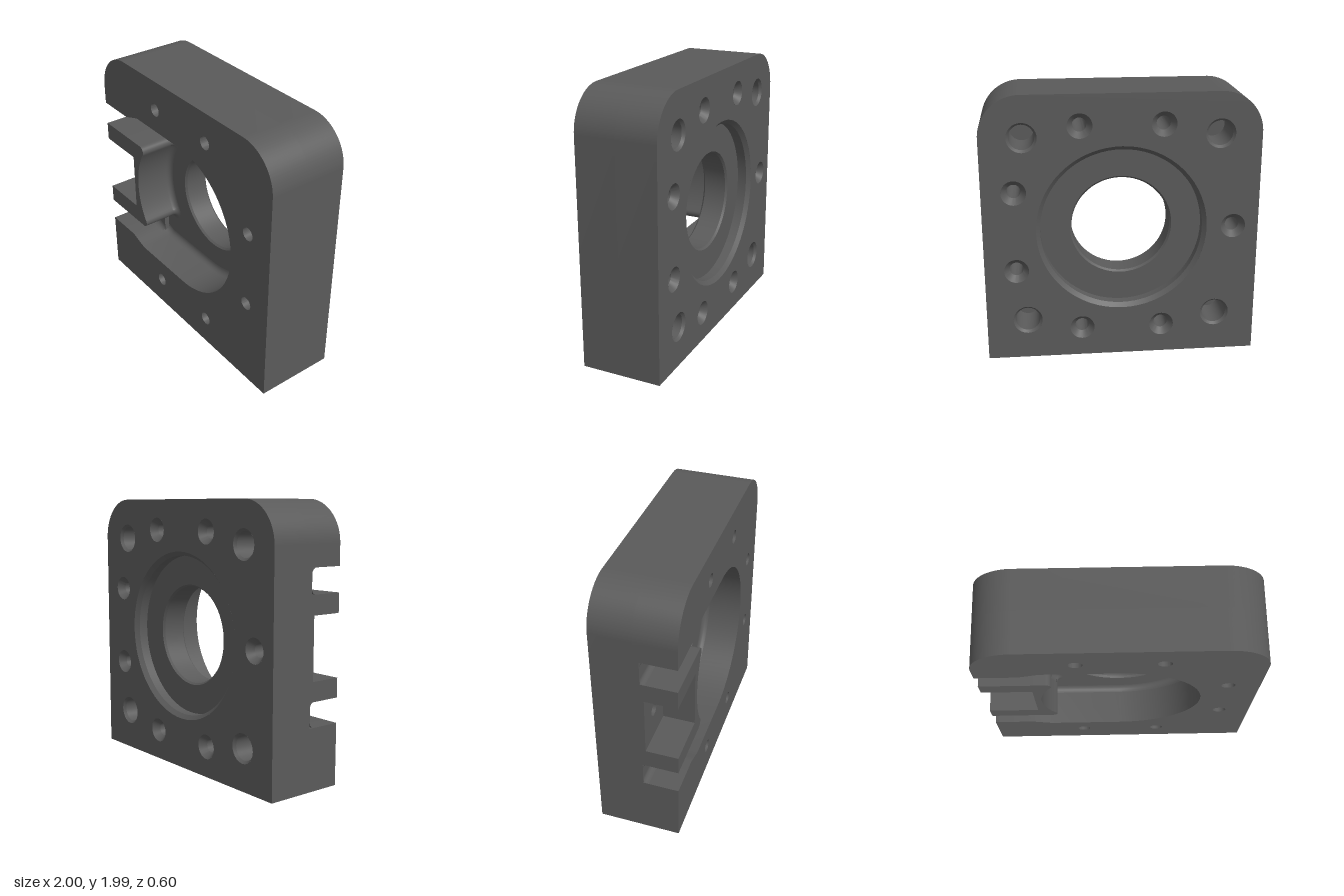
import * as THREE from 'three';
import { toCreasedNormals } from 'three/addons/utils/BufferGeometryUtils.js';

const MID = 0.995; // height of the main bore axis
const V = (x, y) => new THREE.Vector2(x, y);

// points along a circular arc
function arc(cx, cy, r, a0, a1, n) {
  return Array.from({ length: n + 1 }, (_, i) => {
    const a = a0 + (a1 - a0) * i / n;
    return V(cx + r * Math.cos(a), cy + r * Math.sin(a));
  });
}

function addHole(shape, x, y, r) {
  shape.holes.push(new THREE.Path().absarc(x, y, r, 0, Math.PI * 2, true));
}

// flat plate between two z levels
function plate(shape, z0, z1) {
  const g = new THREE.ExtrudeGeometry(shape, { depth: z1 - z0, bevelEnabled: false, curveSegments: 32 });
  return toCreasedNormals(g.translate(0, 0, z0), 0.5);
}

// turned surface about the z axis, profile given as [radius, z]
function turned(profile, x, y, n = 32) {
  const g = new THREE.LatheGeometry(profile.map(p => V(p[0], p[1])), n);
  return toCreasedNormals(g.rotateX(Math.PI / 2).translate(x, y, 0), 0.5);
}

// concave fillet between a wall path and a floor at height z
function cove(path, z, r, side) {
  const pos = [], idx = [], S = 6;
  path.forEach((p, i) => {
    const a = path[Math.max(i - 1, 0)], b = path[Math.min(i + 1, path.length - 1)];
    const d = b.clone().sub(a).normalize();
    for (let j = 0; j <= S; j++) {
      const t = j / S * Math.PI / 2, o = side * r * (1 - Math.cos(t));
      pos.push(p.x + d.y * o, p.y - d.x * o, z + r * (1 - Math.sin(t)));
      if (i && j) {
        const k = i * (S + 1) + j, m = k - S - 1;
        idx.push(m - 1, k - 1, k, m - 1, k, m);
      }
    }
  });
  const g = new THREE.BufferGeometry();
  g.setAttribute('position', new THREE.Float32BufferAttribute(pos, 3));
  g.setIndex(idx);
  g.computeVertexNormals();
  return g;
}

export function createModel() {
  const group = new THREE.Group();
  const metal = new THREE.MeshStandardMaterial({ color: 0x5a5a5a, side: THREE.DoubleSide });
  metal.name = 'dark grey metal';
  const add = (name, geometry) => {
    const m = new THREE.Mesh(geometry, metal);
    m.name = name;
    group.add(m);
  };

  const frameHoles = [[-0.297, 1.765], [0.297, 1.765], [-0.297, 0.225], [0.297, 0.225], [0.77, 1.292], [0.77, 0.698]];
  const slotHole = [-0.815, MID];
  const cornerHoles = [[-0.7, 1.69], [0.7, 1.69], [-0.7, 0.305], [0.7, 0.305]];

  // outer outline with rounded top corners, above the base strip
  const outline = () => new THREE.Shape().moveTo(-1, 0.1).lineTo(1, 0.1).lineTo(1, 1.69)
    .absarc(0.7, 1.69, 0.3, 0, Math.PI / 2, false)
    .absarc(-0.7, 1.69, 0.3, Math.PI / 2, Math.PI, false);

  // back half with openings for bore and bolts
  const back = outline();
  addHole(back, 0, MID, 0.62);
  [...frameHoles, slotHole].forEach(h => addHole(back, ...h, 0.09));
  cornerHoles.forEach(h => addHole(back, ...h, 0.107));
  add('backPlate', plate(back, -0.3, 0));

  // front half, cut by a D-shaped pocket open on one side
  const inner = [V(-0.62, 1.567), V(-0.55, 1.59), ...arc(0, MID, 0.595, Math.PI / 2, -Math.PI / 2, 48),
    V(-0.55, 0.4), V(-0.62, 0.423)];
  const upper = [V(-1, 1.54), V(-0.7, 1.54), V(-0.62, 1.567)];
  const lower = [V(-0.62, 0.423), V(-0.7, 0.45), V(-1, 0.45)];
  const front = outline();
  [...upper, ...inner.slice(1, -1), ...lower].forEach(p => front.lineTo(p.x, p.y));
  frameHoles.forEach(h => addHole(front, ...h, 0.05));
  add('frontFrame', plate(front, 0, 0.3));
  add('pocketFillet', cove(inner, 0, 0.045, 1));
  add('upperChannelFillet', cove(upper, 0.04, 0.04, 1));
  add('lowerChannelFillet', cove(lower, 0.04, 0.04, 1));

  // raised channel floor beside the boss
  const rect = (x0, x1, y0, y1) => new THREE.Shape([V(x0, y0), V(x1, y0), V(x1, y1), V(x0, y1)]);
  const channel = rect(-1, -0.62, 0.423, 1.567);
  addHole(channel, ...slotHole, 0.05);
  add('channelFloor', plate(channel, 0, 0.04));

  // boss with concave end, rounded tips and a slot
  const a = Math.PI - 0.55;
  const edge = [V(-1, 1.36), V(-0.75, 1.36), ...arc(-0.53, 1.318, 0.042, Math.PI / 2, -0.55, 8),
    ...arc(0, MID, 0.582, a, 2 * Math.PI - a, 24),
    ...arc(-0.53, 0.672, 0.042, 0.55, -Math.PI / 2, 8), V(-0.75, 0.63), V(-1, 0.63)];
  const slot = [V(-1, 0.77), V(-0.63, 0.77), V(-0.63, 1.22), V(-1, 1.22)];
  add('boss', plate(new THREE.Shape([...edge, ...slot]), 0, 0.3));
  add('bossFillet', cove(edge, 0.0, 0.04, -1));
  [[0, 11], [edge.length - 11, edge.length]].forEach(([i, j]) => {
    const run = edge.slice(i, j).filter(p => p.x < -0.7);
    run.push(V(-0.62, run[0].y));
    run.sort((p, q) => p.x - q.x);
    add('bossSideFillet', cove(run, 0.04, 0.035, run[0].y > MID ? -1 : 1));
  });
  const slotFloor = rect(-1, -0.63, 0.77, 1.22);
  addHole(slotFloor, ...slotHole, 0.05);
  add('slotFloor', plate(slotFloor, 0.03, 0.065));

  // main bore with chamfered counterbore at the back
  add('mainBore', turned([[0.62, -0.3], [0.59, -0.27], [0.59, -0.2], [0.374, -0.2], [0.361, -0.185],
    [0.361, -0.015], [0.374, 0], [0.62, 0]], 0, MID, 72));

  // countersunk through holes and blind corner holes
  [...frameHoles, slotHole].forEach(h =>
    add('boltHole', turned([[0.09, -0.3], [0.05, -0.25], [0.05, 0]], ...h)));
  cornerHoles.forEach(h =>
    add('cornerHole', turned([[0.107, -0.3], [0.09, -0.28], [0.09, 0]], ...h)));

  // base strip with three blind holes underneath
  const base = rect(-1, 1, -0.3, 0.3);
  const feet = [-0.88, 0, 0.88];
  feet.forEach(x => addHole(base, x, 0, 0.083));
  add('baseStrip', plate(base, 0, 0.1).rotateX(-Math.PI / 2));
  feet.forEach(x => add('baseHole',
    turned([[0.083, 0], [0.065, 0.02], [0.065, 0.1]], x, 0).rotateX(-Math.PI / 2)));

  return group;
}
